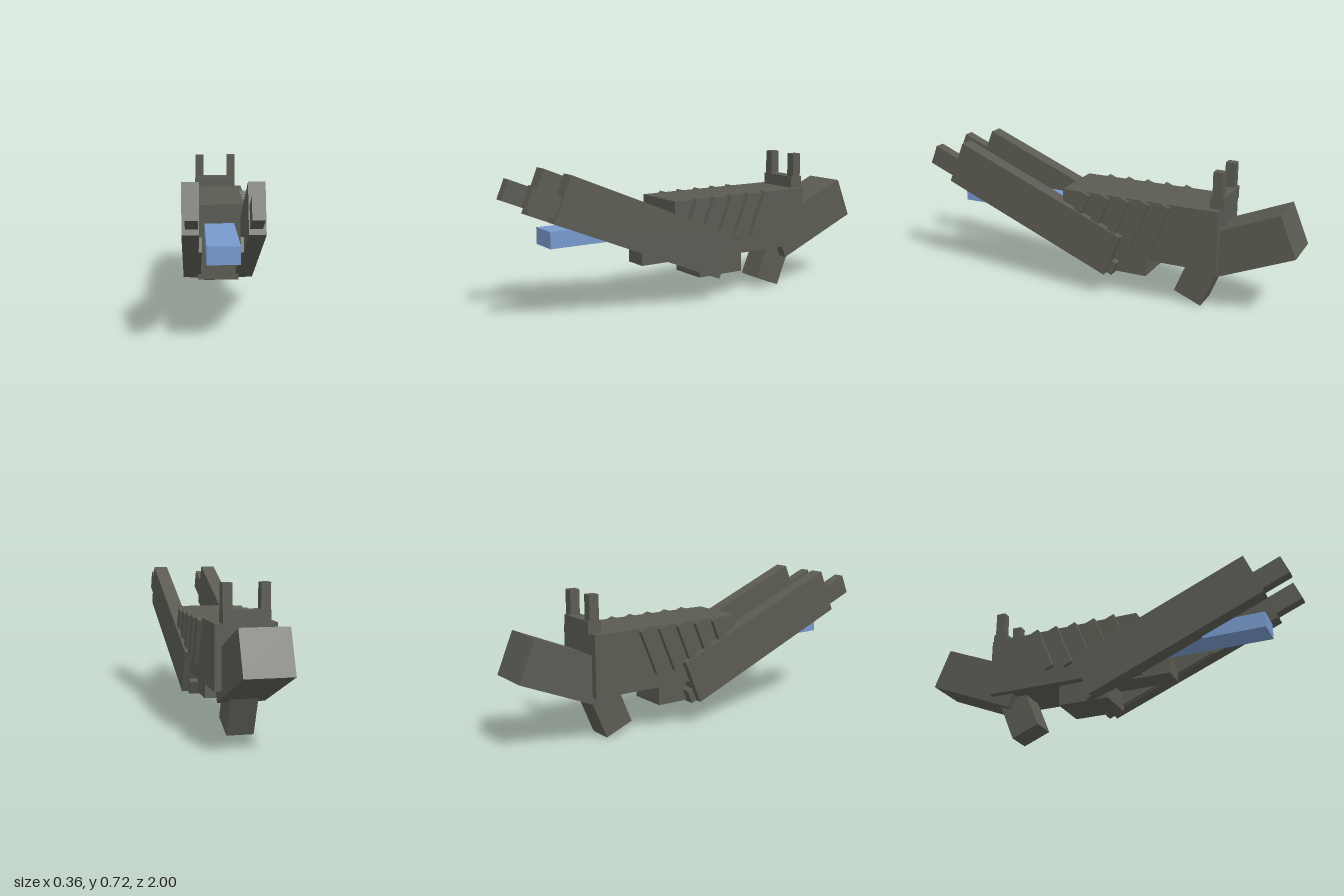
import * as THREE from 'three';

const TILT = Math.PI / 8; // every slanted part leans by 22.5 degrees

export function createModel() {
  const group = new THREE.Group();
  const gunmetal = new THREE.MeshStandardMaterial({ color: 0x5b5b53 });
  gunmetal.name = 'gunmetal';
  const blue = new THREE.MeshStandardMaterial({ color: 0x7799cc });
  blue.name = 'energy blue';

  // Box by size and centre, turned about the x axis
  function box(name, [w, h, d], [x, y, z], tilt = 0, material = gunmetal) {
    const mesh = new THREE.Mesh(new THREE.BoxGeometry(w, h, d), material);
    mesh.name = name;
    mesh.position.set(x, y, z);
    mesh.rotation.x = tilt;
    group.add(mesh);
  }

  // Central body, underside blocks and glowing core
  box('body', [0.296, 0.308, 0.831], [0, 0.391, -0.21]);
  box('frontUnderBlock', [0.125, 0.08, 0.4], [0, 0.264, 0.146]);
  box('rearUnderBlock', [0.21, 0.13, 0.27], [0, 0.194, -0.105]);
  box('energyCore', [0.148, 0.081, 0.745], [0, 0.412, 0.472], 0, blue);

  // Shoulder stock and grip
  box('stock', [0.23, 0.22, 0.5], [0, 0.364, -0.727], TILT);
  box('grip', [0.132, 0.26, 0.155], [0, 0.155, -0.501], -TILT);

  // Rear sight base
  box('sightBase', [0.226, 0.062, 0.07], [0, 0.574, -0.606]);

  for (const [side, s] of [['left', 1], ['right', -1]]) {
    // Raised arms with their barrel tips and inner rails
    box(side + 'Arm', [0.075, 0.234, 0.985], [s * 0.1425, 0.4255, 0.372], -TILT);
    box(side + 'BarrelTip', [0.055, 0.105, 0.4], [s * 0.1375, 0.559, 0.795], -TILT);
    box(side + 'InnerRail', [0.058, 0.072, 0.646], [s * 0.119, 0.277, 0.218], -TILT);

    // Sight posts
    box(side + 'SightPost', [0.046, 0.126, 0.05], [s * 0.09, 0.665, -0.606]);

    // Slanted cooling ribs
    for (let i = 0; i < 5; i++) {
      box(side + 'Rib' + (i + 1), [0.046, 0.238, 0.047], [s * 0.148, 0.432, -0.318 + i * 0.108], -TILT);
    }
  }
  return group;
}
